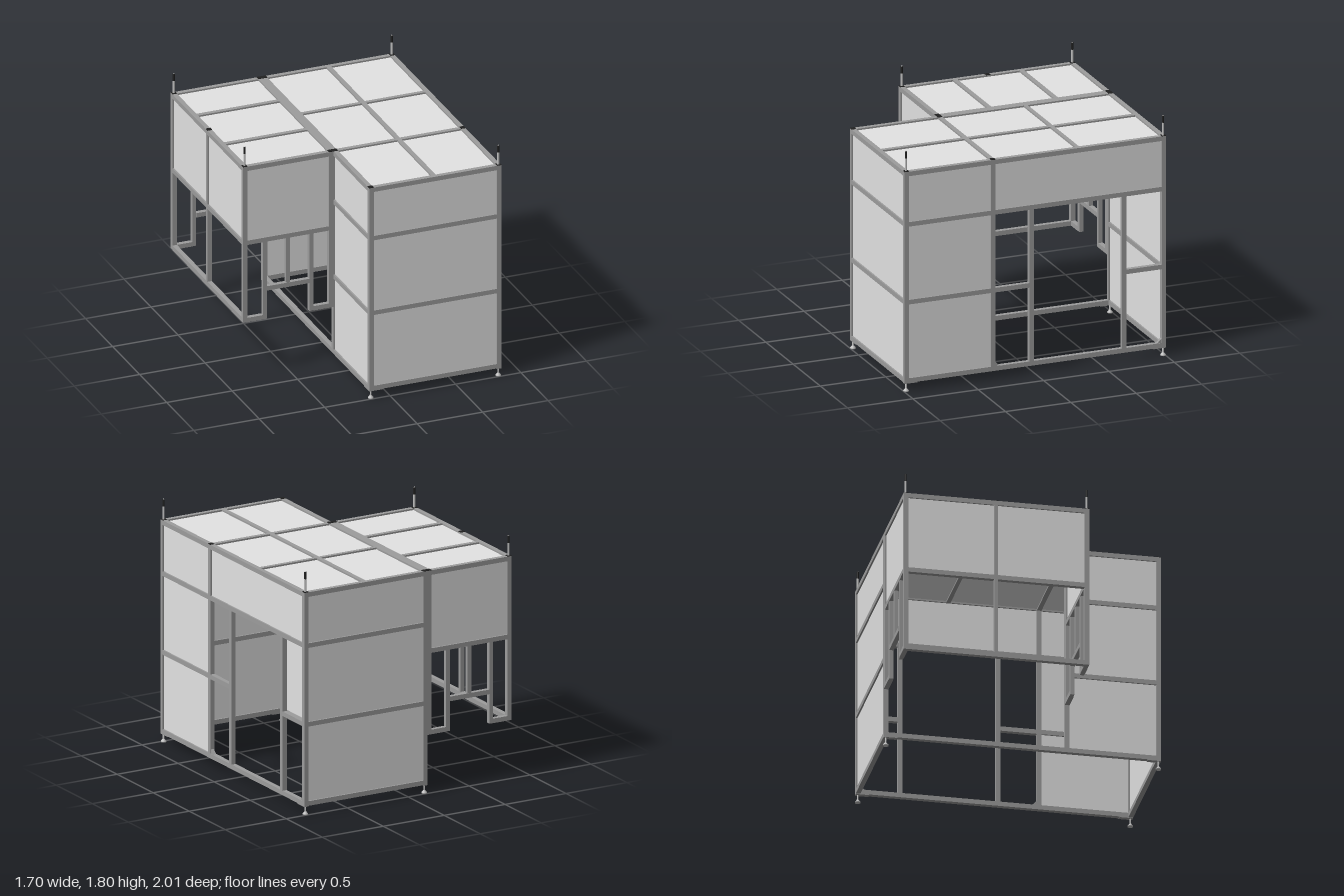
import * as THREE from 'three';

const mat = (name, color) => {
  const m = new THREE.MeshStandardMaterial({ color });
  m.name = name;
  return m;
};

export function createModel() {
  const frame = mat('frame grey', 0x9d9d9d);
  const sheet = mat('panel grey', 0xe3e3e3);
  const black = mat('black plastic', 0x202020);
  const steel = mat('steel', 0xc0c0c0);

  const model = new THREE.Group();
  model.name = 'machineEnclosure';
  const W = 0.034, H = W / 2;
  // Outer planes of the frame, measured at profile centres
  const XL = -0.833, XI = -0.176, XM = -0.142, XR = 0.833;
  const ZB = -0.983, ZM = 0.322, ZF = 0.983;
  const TOP = 1.631, LOW = 0.083, MID = 0.67, HIGH = 1.253, BOXLOW = 0.45, BOXMID = 1.053;

  const box = (name, m, x0, x1, y0, y1, z0, z1) => {
    const mesh = new THREE.Mesh(new THREE.BoxGeometry(x1 - x0, y1 - y0, z1 - z0), m);
    mesh.position.set((x0 + x1) / 2, (y0 + y1) / 2, (z0 + z1) / 2);
    mesh.name = name;
    model.add(mesh);
  };
  const post = (x, z, y0, y1, w = W, d = w) =>
    box('post', frame, x - w / 2, x + w / 2, y0, y1, z - d / 2, z + d / 2);
  const railX = (y, z, x0, x1, d = W) =>
    box('crossRail', frame, x0 + H, x1 - H, y - H, y + H, z - d / 2, z + d / 2);
  const railZ = (x, y, z0, z1) => box('sideRail', frame, x - H, x + H, y - H, y + H, z0 + H, z1 - H);
  const T = 0.005;
  const panelXY = (z, x0, x1, y0, y1) => box('wallPanel', sheet, x0, x1, y0, y1, z - T, z + T);
  const panelYZ = (x, z0, z1, y0, y1) => box('sidePanel', sheet, x - T, x + T, y0, y1, z0, z1);
  const roof = (x0, x1, z0, z1) => box('roofPanel', sheet, x0, x1, TOP - T, TOP + T, z0, z1);

  // Main cabin posts
  const topEdge = TOP + H, floorEdge = LOW - H;
  for (const x of [XM, XR]) for (const z of [ZB, ZM, ZF]) post(x, z, floorEdge, topEdge);

  // Main cabin front and back walls
  for (const z of [ZB, ZF]) {
    for (const y of [LOW, MID, HIGH, TOP]) railX(y, z, XM, XR);
    panelXY(z, XM, XR, LOW, TOP);
  }
  // Main cabin sides: full panels at the front, opening behind
  for (const x of [XM, XR]) {
    for (const y of [LOW, TOP]) {
      railZ(x, y, ZB, ZM);
      railZ(x, y, ZM, ZF);
    }
    for (const y of [MID, HIGH]) railZ(x, y, ZM, ZF);
    panelYZ(x, ZM, ZF, LOW, TOP);
  }
  railZ(XR, HIGH, ZB, ZM);
  panelYZ(XR, ZB, ZM, HIGH, TOP);

  // Door posts and short rails in the right-hand opening
  for (const [z, end] of [[0.028, ZM], [-0.68, ZB]]) {
    post(XR, z, LOW + H, HIGH - H);
    railZ(XR, MID, Math.min(z, end), Math.max(z, end));
  }

  // Corner gussets at the foot of the opening
  const tri = new THREE.Shape([[0, 0], [0.032, 0], [0, 0.032]].map(([x, y]) => new THREE.Vector2(x, y)));
  const gussetGeo = new THREE.ExtrudeGeometry(tri, { depth: 0.024, bevelEnabled: false });
  gussetGeo.translate(0, 0, -0.012);
  for (const [z, turn] of [[ZM - H, Math.PI / 2], [ZB + H, -Math.PI / 2]]) {
    const g = new THREE.Mesh(gussetGeo, frame);
    g.name = 'gusset';
    g.position.set(XR, LOW + H, z);
    g.rotation.y = turn;
    model.add(g);
  }

  // Main roof
  railX(TOP, ZM, XM, XR);
  railX(TOP, -0.332, XM, XR, 0.03);
  railZ(0.345, TOP, ZB, ZM);
  railZ(0.345, TOP, ZM, ZF);
  roof(XM, XR, ZB, ZF);

  // Raised side bay: posts, walls and stepped lower frames
  for (const z of [ZB, ZM]) {
    for (const x of [XL, XI]) post(x, z, BOXLOW - H, topEdge);
    for (const y of [BOXMID, TOP]) railX(y, z, XL, XI);
    panelXY(z, XL, XI, BOXMID, TOP);
    for (const x of [-0.683, -0.328]) post(x, z, BOXLOW - H, BOXMID - H, 0.03);
    post(-0.505, z, MID + H, BOXMID - H, 0.03);
    railX(MID, z, -0.685, -0.326);
    railX(BOXLOW, z, XL, -0.681);
    railX(BOXLOW, z, -0.33, XI);
  }
  for (const y of [BOXLOW, BOXMID, TOP]) railZ(XL, y, ZB, ZM);
  railZ(XI, TOP, ZB, ZM);
  post(XL, -0.333, BOXLOW + H, topEdge, W, 0.028);
  panelYZ(XL, ZB, ZM, BOXMID, TOP);
  for (const z of [-0.59, -0.08]) railX(TOP, z, XL, XI);
  roof(XL, XI, ZB, ZM);

  // Dark end caps on the profile tops
  const caps = [[XL, -0.333], [XL, ZB], [XL, ZM], [XI, ZB], [XI, ZM],
    [XM, ZB], [XM, ZM], [XM, ZF], [XR, ZB], [XR, ZM], [XR, ZF]];
  for (const [x, z] of caps) {
    box('endCap', black, x - H, x + H, topEdge, topEdge + 0.003, z - H, z + H);
  }

  // Corner masts: steel rod, black sleeve near the tip
  const cyl = (name, m, r, y0, y1, x, z) => {
    const mesh = new THREE.Mesh(new THREE.CylinderGeometry(r, r, y1 - y0, 16), m);
    mesh.position.set(x, (y0 + y1) / 2, z);
    mesh.name = name;
    model.add(mesh);
  };
  for (const [x, z] of [[XL, ZB], [XL, ZM], [XR, ZB], [XR, ZF]]) {
    cyl('mast', steel, 0.008, topEdge, 1.745, x, z);
    cyl('mastSleeve', black, 0.008, 1.745, 1.798, x, z);
    cyl('mastTip', steel, 0.006, 1.798, 1.8, x, z);
  }

  // Levelling feet and their mounting plates
  const footProfile = [[0, 0], [0.02, 0], [0.02, 0.008], [0.008, 0.022], [0.006, 0.026], [0.006, 0.062], [0, 0.062]]
    .map(([x, y]) => new THREE.Vector2(x, y));
  const footGeo = new THREE.LatheGeometry(footProfile, 20);
  for (const x of [XM, XR]) for (const z of [ZB, ZF]) {
    const foot = new THREE.Mesh(footGeo, steel);
    foot.name = 'levellingFoot';
    foot.position.set(x, 0, z);
    model.add(foot);
    const outer = z + Math.sign(z) * H, inner = z - Math.sign(z) * 0.08;
    box('footPlate', frame, x - H, x + H, 0.061, 0.067, Math.min(outer, inner), Math.max(outer, inner));
  }
  box('footPlate', frame, XM - H, XM + 0.09, 0.061, 0.067, ZF - H, ZF + H);
  return model;
}
